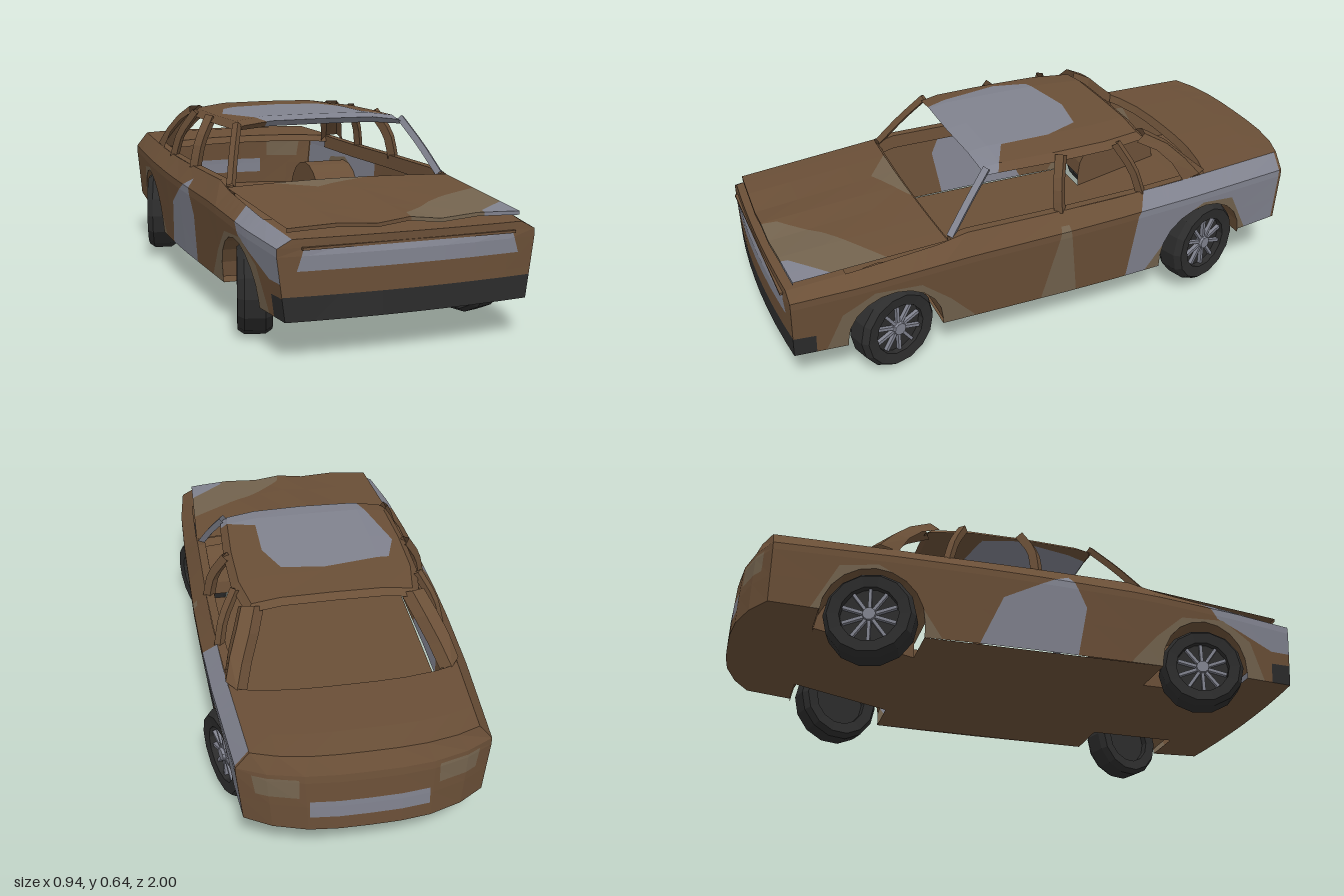
import * as THREE from 'three';

const BROWN = 0x6a4f37, GREY = 0x80828e, BEIGE = 0x73634e, DARK = 0x2c2c2c;
const SPAN = [-1, -0.78, -0.5, -0.25, 0, 0.25, 0.5, 0.78, 1];

const material = (color) => new THREE.MeshStandardMaterial({ color, flatShading: true, side: THREE.DoubleSide });

// Piecewise linear table lookup, keys descending.
function table(points, z) {
  if (z >= points[0][0]) return points[0][1];
  for (let i = 1; i < points.length; i++) {
    const [z0, a] = points[i - 1], [z1, b] = points[i];
    if (z >= z1) return a + (b - a) * (z0 - z) / (z0 - z1);
  }
  return points[points.length - 1][1];
}

// Triangles of a sheet whose corners are fn(u, v).
function sheet(us, vs, fn) {
  const tris = [];
  for (let i = 0; i + 1 < us.length; i++) for (let j = 0; j + 1 < vs.length; j++) {
    const a = fn(us[i], vs[j]), b = fn(us[i + 1], vs[j]), c = fn(us[i + 1], vs[j + 1]), d = fn(us[i], vs[j + 1]);
    tris.push([a, b, c], [a, c, d]);
  }
  return tris;
}

// Cuts a polygon by the line p-q, seen along two axes; returns [left, right].
function cut(poly, p, q, [a, b]) {
  const inside = [], outside = [];
  const dist = (v) => (q[0] - p[0]) * (v[b] - p[1]) - (q[1] - p[1]) * (v[a] - p[0]);
  poly.forEach((v, i) => {
    const w = poly[(i + 1) % poly.length], d = dist(v), e = dist(w);
    (d >= 0 ? inside : outside).push(v);
    if ((d >= 0) !== (e >= 0)) {
      const m = v.map((c, k) => c + (w[k] - c) * d / (d - e));
      inside.push(m);
      outside.push(m);
    }
  });
  return [inside, outside];
}

// Adds a sheet, split into colour fields by convex patches [color, ...points].
function addPanel(group, name, tris, color = BROWN, patches = [], axes = [2, 1]) {
  let faces = tris.map((poly) => ({ poly, color }));
  for (const [tint, ...pts] of patches) {
    const ring = THREE.ShapeUtils.area(pts.map((p) => new THREE.Vector2(...p))) < 0 ? pts.reverse() : pts;
    faces = faces.flatMap((face) => {
      const result = [];
      let rest = face.poly;
      for (let i = 0; i < ring.length && rest.length > 2; i++) {
        const [inside, outside] = cut(rest, ring[i], ring[(i + 1) % ring.length], axes);
        if (outside.length > 2) result.push({ poly: outside, color: face.color });
        rest = inside;
      }
      if (rest.length > 2) result.push({ poly: rest, color: tint });
      return result;
    });
  }
  const part = new THREE.Group();
  part.name = name;
  for (const c of new Set(faces.map((f) => f.color))) {
    const pos = [];
    for (const { poly } of faces.filter((f) => f.color === c))
      for (let i = 1; i + 1 < poly.length; i++) pos.push(...poly[0], ...poly[i], ...poly[i + 1]);
    const geo = new THREE.BufferGeometry();
    geo.setAttribute('position', new THREE.Float32BufferAttribute(pos, 3));
    geo.computeVertexNormals();
    const mesh = new THREE.Mesh(geo, material(c));
    mesh.name = name + (c === color ? 'Base' : 'Patch');
    part.add(mesh);
  }
  group.add(part);
}

// Body outline along z: widest half-width, shoulder height, top height.
const width = (z) => table([[0.975, 0.425], [0.75, 0.447], [0.45, 0.455], [-0.1, 0.457], [-0.5, 0.438], [-0.9, 0.405]], z);
const shoulder = (z) => table([[0.975, 0.32], [0.4, 0.36], [-0.9, 0.385]], z);
const top = (z) => table([[0.975, 0.37], [0.45, 0.43], [0.36, 0.45], [-0.3, 0.45], [-0.9, 0.465]], z);
const under = (z) => table([[0.975, 0.125], [-0.385, 0.125], [-0.735, 0.19], [-0.9, 0.2]], z);
const frontZ = (f) => 0.975 + 0.022 * (1 - f * f);
const rearZ = (f) => -0.9 - 0.1 * (1 - Math.abs(f) ** 3);

// Point of the body side at station z with lower edge b, row 0 (sill) to 4 (top).
function section(z, b, row) {
  const s = shoulder(z), w = width(z);
  if (row === 4) return [w * 0.89, top(z)];
  if (row === 3) return [w, s + 0.025];
  const y = b + (s - b) * row / 2;
  return [w * (0.94 + 0.06 * (y - 0.125) / (s - 0.125)), y];
}

const ARCHES = [[0.63, 0.145, 0.165], [-0.56, 0.175, 0.175]].map(([cz, cy, r]) =>
  Array.from({ length: 11 }, (_, i) => [cz + r * Math.cos(i * Math.PI / 10), cy + r * Math.sin(i * Math.PI / 10)]));

function createWheel(radius) {
  const wheel = new THREE.Group();
  const add = (name, geo, color, x = 0) => {
    const mesh = new THREE.Mesh(geo, material(color));
    mesh.name = name;
    mesh.position.x = x;
    wheel.add(mesh);
    return mesh;
  };
  const rim = radius * 0.64;
  const profile = [[rim, -0.05], [radius * 0.9, -0.055], [radius, -0.033], [radius, 0.033], [radius * 0.9, 0.055], [rim, 0.05], [rim, -0.05]];
  add('tyre', new THREE.LatheGeometry(profile.map((p) => new THREE.Vector2(...p)), 14).rotateZ(-Math.PI / 2), DARK);
  add('rimDisc', new THREE.CylinderGeometry(rim, rim, 0.05, 14).rotateZ(Math.PI / 2), DARK);
  add('hub', new THREE.CylinderGeometry(0.022, 0.026, 0.03, 10).rotateZ(-Math.PI / 2), GREY, 0.036);
  for (let i = 0; i < 10; i++)
    add('spoke', new THREE.BoxGeometry(0.014, rim - 0.01, 0.011).translate(0, rim / 2, 0), GREY, 0.034).rotation.x = i * Math.PI / 5;
  return wheel;
}

export function createModel() {
  const car = new THREE.Group();
  car.name = 'car';

  // Sides with open wheel arches
  const flat = (z) => [z, under(z)];
  const stations = [flat(0.975), flat(0.9), flat(0.795), ...ARCHES[0], flat(0.465), flat(0.36), flat(0.2), flat(0), flat(-0.2),
    flat(-0.385), ...ARCHES[1], flat(-0.735), flat(-0.9)];
  const shared = [
    [BEIGE, [0.87, 0.12], [0.81, 0.26], [0.7, 0.325], [0.54, 0.315], [0.44, 0.23], [0.34, 0.12]],
    [BEIGE, [-0.32, 0.12], [-0.46, 0.32], [-0.55, 0.365], [-0.68, 0.35], [-0.77, 0.18]],
    [DARK, [0.9, 0.1], [1.1, 0.1], [1.1, 0.2], [0.9, 0.195]],
  ];
  const sidePaint = {
    1: [[GREY, [-0.24, 0.1], [-0.27, 0.38], [-0.33, 0.48], [-0.89, 0.48], [-0.89, 0.1]],
      [BEIGE, [0.1, 0.12], [0.03, 0.41], [0.0, 0.41], [-0.04, 0.12]]],
    '-1': [[GREY, [-0.2, 0.12], [-0.12, 0.3], [0.12, 0.42], [0.18, 0.3], [0.15, 0.12]],
      [GREY, [0.6, 0.45], [0.68, 0.33], [0.9, 0.24], [1, 0.24], [1, 0.45]]],
  };
  for (const s of [1, -1]) {
    const sideName = s > 0 ? 'left' : 'right';
    addPanel(car, sideName + 'Side', sheet(stations, [0, 1, 2, 3, 4], ([z, b], row) => {
      const [x, y] = section(z, b, row);
      return [s * x, y, z];
    }), BROWN, [...sidePaint[s], ...shared]);

    // Window sill turned inward
    addPanel(car, sideName + 'Sill', sheet([0.42, 0.36, 0, -0.3, -0.58], [0, 1, 2], (z, k) =>
      [s * (width(z) * 0.89 - [0, 0.03, 0.035][k]), top(z) - [0, 0, 0.05][k], z]));

    // Wheel wells
    for (const arch of ARCHES) {
      addPanel(car, 'wheelWell', sheet(arch, [0, 1, 2], ([z, b], k) =>
        [s * (k ? 0.25 : section(z, b, 0)[0]), k < 2 ? b : under(z), z]));
    }

    // Pillars
    const pillar = (name, pts, r, color = BROWN) => {
      const curve = new THREE.CatmullRomCurve3(pts.map(([x, y, z]) => new THREE.Vector3(s * x, y, z)));
      const mesh = new THREE.Mesh(new THREE.TubeGeometry(curve, 5, r, 4), material(color));
      mesh.name = name;
      car.add(mesh);
    };
    pillar('frontPillar', [[0.385, 0.435, 0.415], [0.35, 0.53, 0.335], [0.31, 0.62, 0.25]], 0.016, s > 0 ? GREY : BROWN);
    pillar('middlePillar', [[0.395, 0.44, 0.015], [0.375, 0.53, 0.01], [0.325, 0.62, -0.02]], 0.022);
    pillar('doorPillar', [[0.39, 0.44, -0.305], [0.37, 0.53, -0.28], [0.32, 0.62, -0.235]], 0.018);

    // Wide rear pillar: forward edge and rear edge
    const fore = [[0.32, 0.605, -0.32], [0.345, 0.57, -0.39], [0.37, 0.52, -0.44], [0.39, 0.45, -0.48]];
    const aft = [[0.27, 0.63, -0.365], [0.3, 0.58, -0.45], [0.335, 0.515, -0.52], [0.36, 0.458, -0.585]];
    addPanel(car, 'rearPillar', sheet([0, 1, 2, 3], [0, 1, 2, 3], (i, k) => {
      const mid = [0.035, 0.02, -0.025];
      const p = [fore[i], fore[i].map((c, n) => (c + aft[i][n]) / 2 + [0.018, 0.012, -0.012][n]), aft[i],
        aft[i].map((c, n) => c - mid[n])][k];
      return [s * p[0], p[1], p[2]];
    }));
  }

  // Nose with bumper band and grille panel
  addPanel(car, 'nose', sheet(SPAN, [0, 1, 2, 3, 4], (f, row) => {
    const [x, y] = section(0.975, 0.125, row);
    return [f * x, y, frontZ(f) - 0.01 * (1 - f * f) * (row > 2)];
  }), BROWN, [
    [DARK, [-0.6, 0.1], [0.6, 0.1], [0.6, 0.2], [-0.6, 0.2]],
    [GREY, [-0.365, 0.275], [0.365, 0.275], [0.345, 0.338], [-0.345, 0.338]],
  ], [0, 1]);
  const lip = new THREE.Mesh(new THREE.BoxGeometry(0.7, 0.008, 0.012), material(BROWN));
  lip.name = 'grilleLip';
  lip.position.set(0, 0.342, 0.984);
  car.add(lip);
  addPanel(car, 'noseTop', sheet(SPAN, [0, 1], (f, v) => {
    const z = v ? 0.78 : 0.975;
    return [f * section(z, 0.125, 4)[0], top(z), v ? z : frontZ(f) - 0.01 * (1 - f * f)];
  }));

  // Bonnet, raised at the front, with a wavy lip
  const hoodX = [-1, -0.85, -0.6, -0.27, 0, 0.27, 0.6, 0.85, 1];
  addPanel(car, 'bonnet', sheet(hoodX, [0, 0.3, 0.7, 1, 1.02], (f, v) => {
    const t = Math.min(v, 1), wave = Math.abs(f) === 0.27 ? -0.012 : 0;
    return [f * (0.405 - 0.02 * t), 0.435 - 0.038 * t + 0.012 * (1 - f * f) + wave * t - (v > 1 ? 0.012 : 0),
      0.43 + 0.52 * t + 0.015 * (1 - f * f)];
  }), BROWN, [
    [BEIGE, [0, 0.99], [0.02, 0.87], [0.15, 0.79], [0.42, 0.55], [0.42, 0.99]],
    [GREY, [0.25, 0.99], [0.26, 0.935], [0.42, 0.8], [0.42, 0.99]],
    [BEIGE, [-0.28, 0.42], [-0.12, 0.53], [0.08, 0.45], [0.1, 0.42]],
  ], [0, 2]);
  addPanel(car, 'windscreenBase', sheet(SPAN, [0, 1], (f, v) =>
    [f * (0.4 - 0.02 * v), 0.433 + 0.012 * (1 - f * f) - 0.025 * v, 0.431 + 0.015 * (1 - f * f) - 0.02 * v]));

  // Roof with turned-down edges
  const roofEdge = [[0, 0.642], [0.2, 0.64], [0.31, 0.626], [0.337, 0.603]];
  const roofRows = [[0.245, 0.03], [0.262, 0.01], [0.2, 0], [0, 0], [-0.2, 0], [-0.34, 0.002], [-0.365, 0.02]];
  addPanel(car, 'roof', sheet([-3, -2, -1, 0, 1, 2, 3], roofRows, (i, [z, drop]) => {
    const [x, y] = roofEdge[Math.abs(i)];
    const w = table([[0.26, 0.95], [0.1, 1], [-0.2, 0.98], [-0.365, 0.88]], z);
    return [Math.sign(i) * x * w, Math.max(0.6, y - drop), z + (z > 0.24 ? 0.005 : 0) * (3 - Math.abs(i))];
  }), BROWN, [
    [GREY, [-0.24, -0.14], [0, -0.18], [0.15, -0.155], [0.2, -0.03], [0.2, 0.3], [-0.2, 0.3], [-0.28, -0.02]],
    [GREY, [0.2, 0.15], [0.34, 0.22], [0.34, 0.3], [0.2, 0.3]],
  ], [0, 2]);

  // Boot lid and tail with lamps and plate panel
  addPanel(car, 'bootLid', sheet(SPAN, [-0.05, 0, 0.35, 0.7, 1], (f, v) => {
    const round = 1 - Math.abs(f) ** 3, z0 = -0.57 - 0.055 * round, z1 = rearZ(f) + 0.045 * round;
    const z = z0 + (z1 - z0) * v;
    return [f * width(z) * 0.89, (v === 1 ? 0.465 : top(z) + 0.008 * (1 - f * f)) - (v < 0 ? 0.025 : 0), z];
  }));
  addPanel(car, 'tail', sheet(SPAN, [0, 1, 2, 3, 4], (f, row) => {
    const [x, y] = section(-0.9, 0.2, row);
    return [f * x, y, rearZ(f) + [0, 0.003, 0.01, 0.015, 0.045][row] * (1 - Math.abs(f) ** 3)];
  }), BROWN, [
    [GREY, [-0.19, 0.25], [0.19, 0.25], [0.19, 0.312], [-0.19, 0.312]],
    ...[1, -1].map((s) => [BEIGE, [s * 0.22, 0.325], [s * 0.35, 0.325], [s * 0.36, 0.395], [s * 0.22, 0.395]]),
  ], [0, 1]);

  // Floor, narrowed between the wheels
  const floorRows = [[0.975, 0], [0.795, 0], [0.795, 1], [0.465, 1], [0.465, 0], [-0.385, 0], [-0.385, 1], [-0.735, 1], [-0.735, 0], [-0.9, 0]];
  addPanel(car, 'floor', sheet(SPAN, floorRows, (f, [z, narrow]) => {
    const x = narrow ? 0.25 : section(z, under(z), 0)[0];
    return [f * x, under(z), z === 0.975 ? frontZ(f) : z === -0.9 ? rearZ(f) : z];
  }));

  // Wheels, splayed outward at their leading edge
  for (const [name, z, r, y] of [['frontWheel', 0.632, 0.146, 0.144], ['rearWheel', -0.56, 0.155, 0.183]]) {
    for (const s of [1, -1]) {
      const wheel = createWheel(r);
      wheel.name = name;
      wheel.position.set(s * 0.378, y, z);
      wheel.rotation.y = s > 0 ? 0.3 : Math.PI - 0.3;
      car.add(wheel);
    }
  }
  return car;
}
